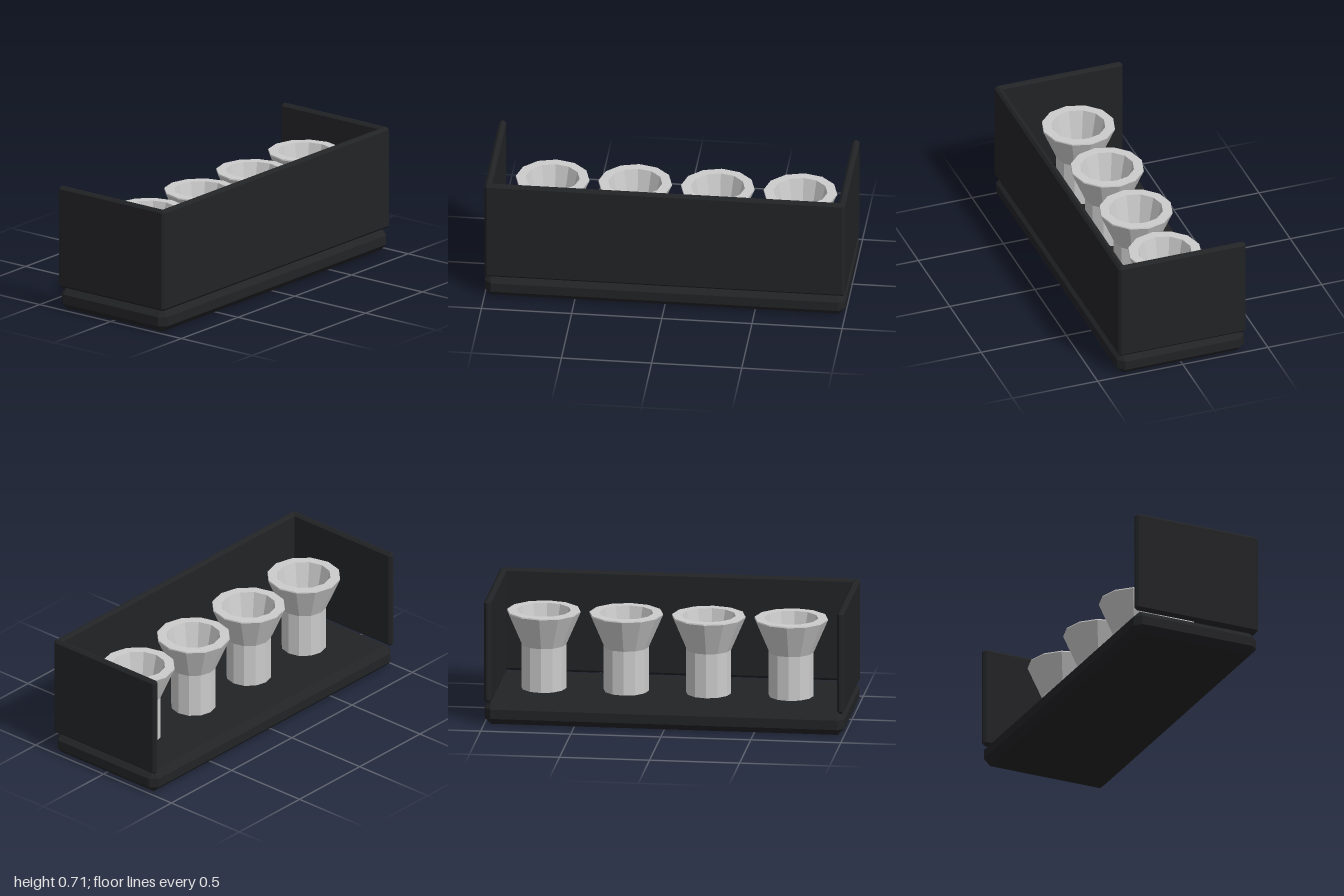
import * as THREE from 'three';
import { ConvexGeometry } from 'three/addons/geometries/ConvexGeometry.js';

const dark = new THREE.MeshStandardMaterial({ color: 0x222325, flatShading: true });
const grey = new THREE.MeshStandardMaterial({ color: 0xcccccc, flatShading: true });

// Box with flat chamfers on every edge and clipped corners
function chamferBox(name, w, h, d, c, x, y, z) {
  const pts = [];
  for (const sx of [-1, 1]) for (const sy of [-1, 1]) for (const sz of [-1, 1]) {
    const a = w / 2, b = h / 2, e = d / 2;
    pts.push(
      new THREE.Vector3(sx * a, sy * (b - c), sz * (e - c)),
      new THREE.Vector3(sx * (a - c), sy * b, sz * (e - c)),
      new THREE.Vector3(sx * (a - c), sy * (b - c), sz * e)
    );
  }
  const mesh = new THREE.Mesh(new ConvexGeometry(pts), dark);
  mesh.name = name;
  mesh.position.set(x, y, z);
  return mesh;
}

export function createModel() {
  const model = new THREE.Group();
  model.name = 'cupHolderTray';

  const W = 0.747, baseH = 0.127, top = 0.708, t = 0.04, bevel = 0.014;
  const wallH = top - baseH, wallY = baseH + wallH / 2;

  // Base slab
  model.add(chamferBox('base', W, baseH, 2, 0.037, 0, baseH / 2, 0));

  // Three walls; the -x side stays open
  model.add(chamferBox('sideWall', t, wallH, 2, bevel, W / 2 - t / 2, wallY, 0));
  model.add(chamferBox('frontWall', W, wallH, t, bevel, 0, wallY, 1 - t / 2));
  model.add(chamferBox('backWall', W, wallH, t, bevel, 0, wallY, -1 + t / 2));

  // Four hollow twelve-sided funnels
  const profile = [
    [0.125, 0], [0.125, 0.25], [0.205, 0.435], [0.203, 0.442],
    [0.15, 0.442], [0.105, 0.25], [0.105, 0]
  ].map(([r, y]) => new THREE.Vector2(r, y));
  const funnel = new THREE.LatheGeometry(profile, 12);
  for (let i = 0; i < 4; i++) {
    const mesh = new THREE.Mesh(funnel, grey);
    mesh.name = 'funnel' + (i + 1);
    mesh.position.set(0, baseH, -0.712 + i * 0.458);
    model.add(mesh);
  }
  return model;
}
